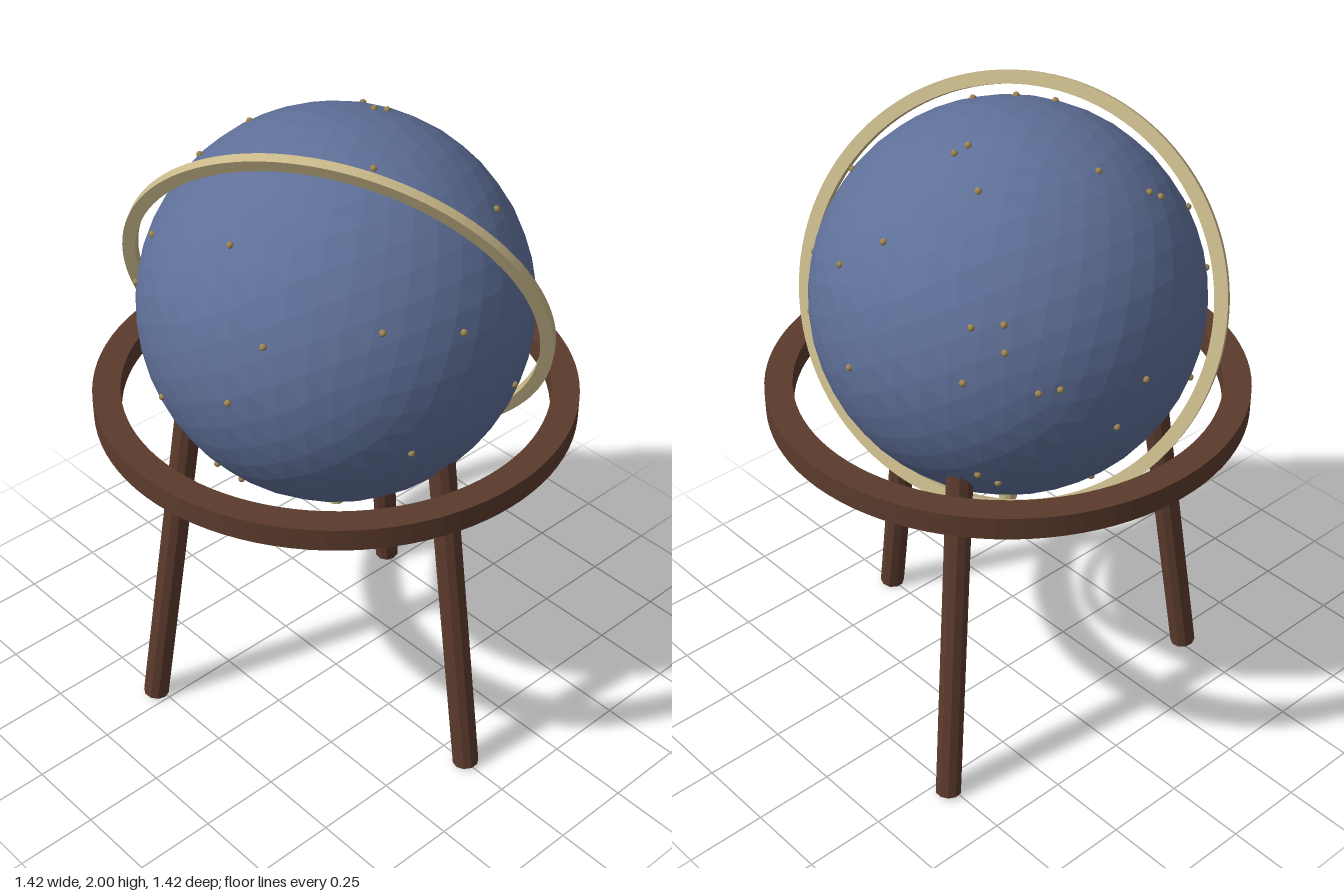
import * as THREE from 'three';

const flat = (name, color) => {
  const m = new THREE.MeshStandardMaterial({ color, flatShading: true });
  m.name = name;
  return m;
};

export function createModel() {
  const wood = flat('dark wood', 0x5c3b2d);
  const blue = flat('globe blue', 0x5f7099);
  const brass = flat('pale brass', 0xc8b88a);
  const studBrass = flat('stud brass', 0x9c8450);

  const R = 0.57, centreY = 1.41;
  const model = new THREE.Group();
  model.name = 'celestialGlobe';

  const add = (name, geometry, material, parent = model) => {
    const mesh = new THREE.Mesh(geometry, material);
    mesh.name = name;
    parent.add(mesh);
    return mesh;
  };

  // Ring with a rectangular section, lying flat around the y axis
  const band = (inner, outer, height, segments) => {
    const h = height / 2;
    const profile = [[inner, -h], [outer, -h], [outer, h], [inner, h], [inner, -h]];
    return new THREE.LatheGeometry(profile.map(([x, y]) => new THREE.Vector2(x, y)), segments);
  };

  // Faceted sphere
  add('globe', new THREE.IcosahedronGeometry(R, 7), blue).position.y = centreY;

  // Horizontal wooden ring
  add('horizonRing', band(0.63, 0.712, 0.068, 96), wood).position.y = 1.119;

  // Tilted brass ring, turned 30 degrees and leaning 23.4 degrees
  const meridian = add('meridianRing', band(0.598, 0.637, 0.028, 128), brass);
  const tilt = THREE.MathUtils.degToRad(23.4), turn = Math.PI / 6;
  const axis = new THREE.Vector3(
    -Math.cos(tilt) * Math.sin(turn), Math.sin(tilt), -Math.cos(tilt) * Math.cos(turn));
  meridian.quaternion.setFromUnitVectors(new THREE.Vector3(0, 1, 0), axis);
  meridian.position.y = centreY;

  // Pin under the globe
  add('bottomPin', new THREE.CylinderGeometry(0.028, 0.028, 0.2, 12), brass).position.y = 0.795;

  // Three splayed legs
  const foot = new THREE.Vector3(0.595, 0.006, 0), top = new THREE.Vector3(0.438, 1.1, 0);
  const lean = top.clone().sub(foot);
  for (let i = 0; i < 3; i++) {
    const pivot = new THREE.Group();
    pivot.name = 'leg' + (i + 1);
    pivot.rotation.y = i * Math.PI * 2 / 3;
    const leg = add('legPost', new THREE.CylinderGeometry(0.04, 0.04, lean.length(), 10), wood, pivot);
    leg.position.copy(foot).add(top).multiplyScalar(0.5);
    leg.quaternion.setFromUnitVectors(new THREE.Vector3(0, 1, 0), lean.clone().normalize());
    model.add(pivot);
  }

  // Star studs: x and z on the upper half of the globe, then on the lower half
  const upper = [
    [0.01, -0.57], [-0.01, -0.45], [0.12, -0.5], [-0.16, -0.25], [-0.02, -0.21], [-0.03, -0.17],
    [-0.33, -0.46], [-0.32, -0.42], [-0.4, -0.375], [-0.38, -0.36], [-0.47, -0.32], [-0.5, -0.27],
    [-0.57, -0.02], [-0.29, 0.06], [-0.355, 0.19], [-0.36, 0.23], [-0.3, 0.41], [-0.365, 0.43],
    [0.2, 0.05], [0.12, 0.14], [0.04, 0.215], [0.54, 0.04], [0.455, 0.254], [0.245, 0.48],
    [0.05, 0.42], [0.36, -0.26], [0.435, -0.355], [0.45, -0.344],
  ];
  const lower = [
    [0.17, 0.545], [-0.13, 0.537], [-0.45, 0.294], [0.513, 0.195], [0, 0.455], [0.05, 0.41],
    [0.217, 0.137], [-0.355, 0], [-0.3, 0.15], [-0.25, 0.35], [0.53, -0.185], [0.384, -0.418],
    [0.4, -0.38], [0.32, -0.16], [-0.31, -0.394], [-0.333, -0.34], [-0.546, -0.1],
  ];
  const studs = new THREE.Group();
  studs.name = 'starStuds';
  studs.position.y = centreY;
  model.add(studs);
  const studShape = new THREE.IcosahedronGeometry(0.01, 1);
  [[upper, 1], [lower, -1]].forEach(([points, side]) => points.forEach(([x, z]) => {
    const y = side * Math.sqrt(Math.max(0, R * R - x * x - z * z));
    add('starStud', studShape, studBrass, studs).position.set(x, y, z).setLength(R);
  }));

  return model;
}
